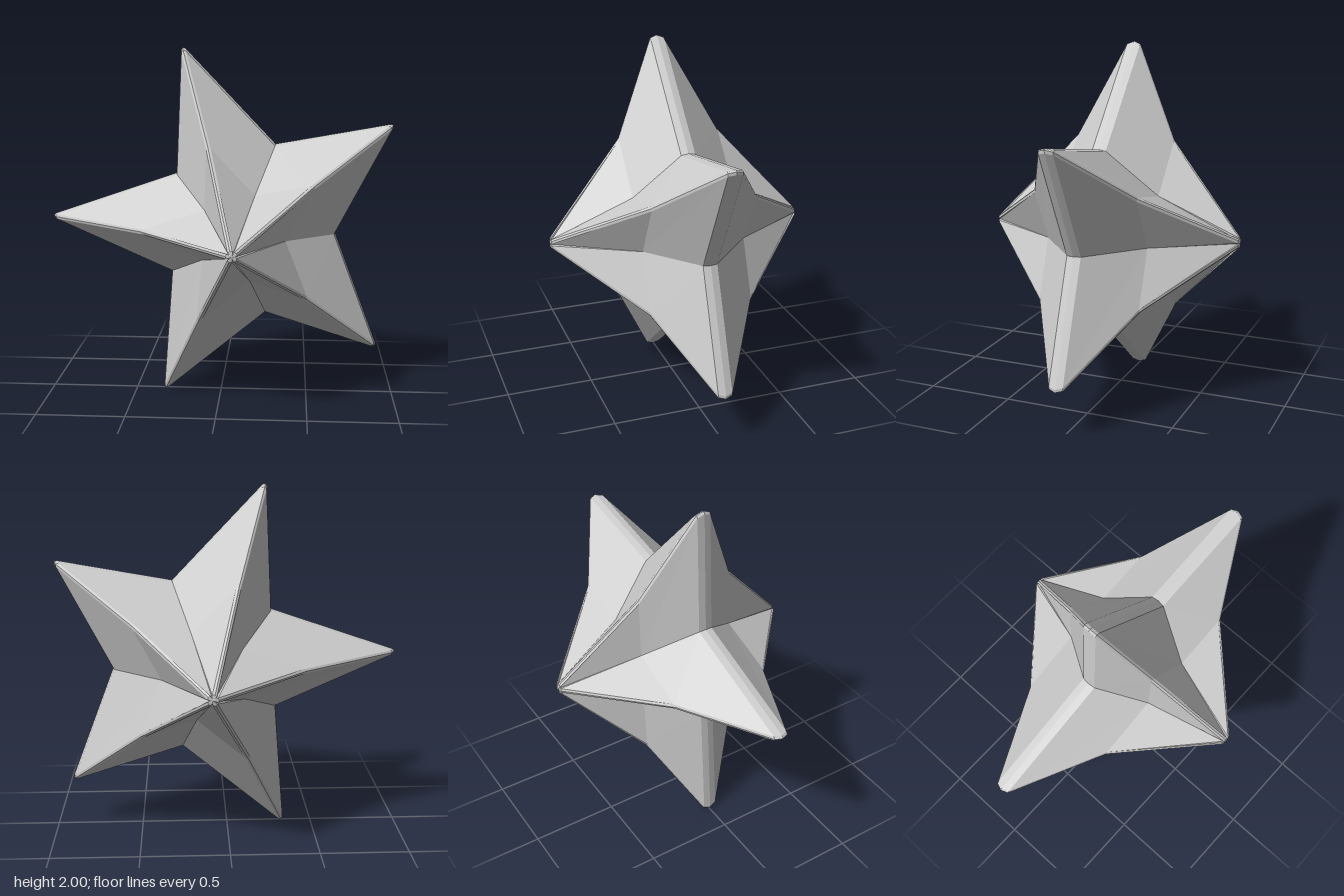
import * as THREE from 'three';

export function createModel() {
  const group = new THREE.Group();
  const grey = new THREE.MeshStandardMaterial({ color: 0xcccccc });
  grey.name = 'light grey';
  const cx = 0.1, cy = 0.96;

  // Star outline, anticlockwise: tip, valley, tip, valley ...
  const outline = [
    [-0.215, 2.0], [-0.255, 1.29], [-0.975, 1.035], [-0.285, 0.72], [-0.33, 0.0],
    [0.26, 0.48], [0.9, 0.285], [0.655, 0.95], [0.97, 1.57], [0.31, 1.46],
  ];
  // Layers from front to back: [z, scale about the centre]
  const layers = [
    [0.73, 0.03], [0.287, 0.49], [0.045, 0.985], [0.005, 1],
    [-0.035, 0.985], [-0.302, 0.49], [-0.735, 0.03],
  ];
  const halfWidth = 0.013;

  // One cross-section; every tip becomes a small blunt ridge of three points
  const ring = ([z, s]) => {
    const points = [];
    outline.forEach(([x, y], i) => {
      const dx = x - cx, dy = y - cy, r = Math.hypot(dx, dy);
      const ux = dx / r, uy = dy / r;
      if (i % 2) points.push([cx + dx * s, cy + dy * s, z]);
      else for (const side of [-1, 0, 1]) {
        const d = r * s - Math.abs(side) * Math.min(0.01, r * s * 0.2);
        points.push([cx + ux * d - uy * side * halfWidth, cy + uy * d + ux * side * halfWidth, z]);
      }
    });
    return points;
  };

  // Join the cross-sections with separate faces so the facets stay flat
  const rings = layers.map(ring);
  const vertices = [];
  const triangle = (a, b, c) => vertices.push(...a, ...b, ...c);
  const n = rings[0].length;
  const last = rings.length - 1;
  for (let i = 0; i < n; i++) {
    const j = (i + 1) % n;
    for (let k = 0; k < last; k++) {
      const a = rings[k], b = rings[k + 1];
      triangle(a[i], b[i], b[j]);
      triangle(a[i], b[j], a[j]);
    }
    // Small blunt caps at the front and back peaks
    triangle([cx, cy, layers[0][0] + 0.004], rings[0][i], rings[0][j]);
    triangle([cx, cy, layers[last][0] - 0.004], rings[last][j], rings[last][i]);
  }
  const geometry = new THREE.BufferGeometry();
  geometry.setAttribute('position', new THREE.Float32BufferAttribute(vertices, 3));
  geometry.computeVertexNormals();

  const star = new THREE.Mesh(geometry, grey);
  star.name = 'star';
  group.add(star);
  return group;
}
